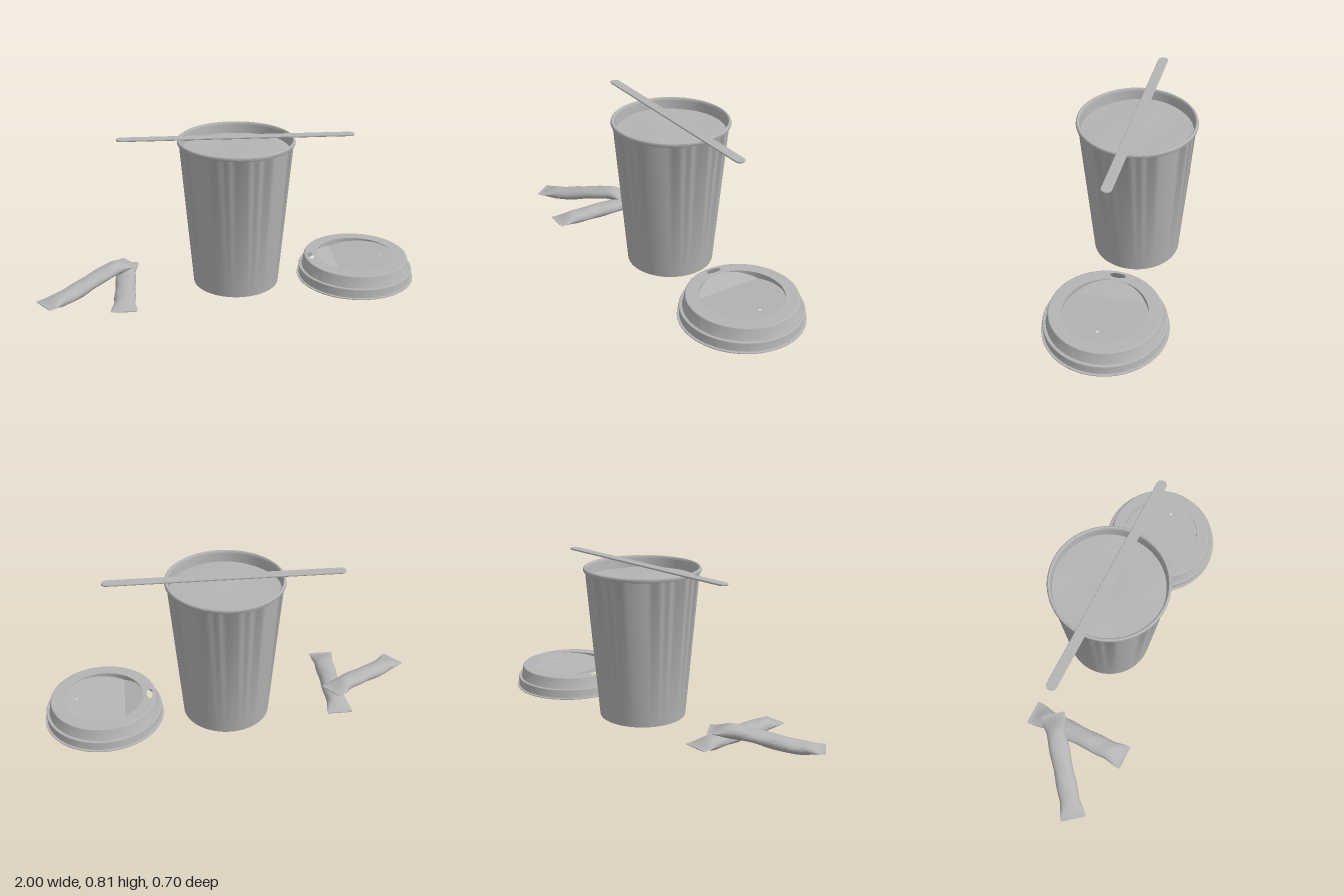
import * as THREE from 'three';
import { toCreasedNormals } from 'three/addons/utils/BufferGeometryUtils.js';

const grey = new THREE.MeshStandardMaterial({ color: 0xb4b4b4, side: THREE.DoubleSide });
grey.name = 'plain grey';

function add(parent, name, geometry) {
  const mesh = new THREE.Mesh(geometry, grey);
  mesh.name = name;
  parent.add(mesh);
  return mesh;
}

function lathe(points) {
  const profile = points.map(([r, y]) => new THREE.Vector2(r, y));
  return toCreasedNormals(new THREE.LatheGeometry(profile, 72), 0.6);
}

// Shape laid flat, with each vertex lifted by a height rule
function sheet(geometry, height) {
  geometry.rotateX(-Math.PI / 2);
  const p = geometry.attributes.position;
  for (let i = 0; i < p.count; i++) p.setY(i, height(p.getX(i), p.getZ(i)));
  geometry.computeVertexNormals();
  return geometry;
}

function circleHole(x, y, rx, ry) {
  return new THREE.Path().absellipse(x, y, rx, ry, 0, Math.PI * 2, true);
}

function makeCup() {
  const cup = new THREE.Group();
  cup.name = 'cup';
  add(cup, 'cupBody', lathe([
    [0, 0.07], [0.224, 0.07], [0.22, 0.01], [0.226, 0.01], [0.292, 0.776],
    [0.297, 0.777], [0.301, 0.782], [0.302, 0.788], [0.3, 0.796], [0.295, 0.8],
    [0.289, 0.799], [0.285, 0.794], [0.284, 0.785], [0.22, 0.08], [0, 0.08],
  ]));
  // Gently rippled drink surface
  add(cup, 'drinkSurface', sheet(new THREE.RingGeometry(0, 0.28, 64, 16), (x, z) =>
    0.74 + 0.002 * Math.sin(14 * x + 6 * z) + 0.002 * Math.sin(17 * z - 8 * x)));
  return cup;
}

function makeLid() {
  const lid = new THREE.Group();
  lid.name = 'lid';
  const top = 0.125, R = 0.208, chord = -0.11, depth = 0.03;
  // Recess falls steeply to the chord, then climbs gently to the far side
  const floor = (x) => top - depth * (x < chord ? (x + R) / (chord + R) : (R - x) / (R - chord));

  // Flange, skirt, groove and raised shoulder
  add(lid, 'lidSkirt', lathe([
    [0.3, 0.01], [0.313, 0.01], [0.313, 0.014], [0.302, 0.015], [0.3, 0.02],
    [0.305, 0.058], [0.303, 0.063], [0.298, 0.065], [0.288, 0.063], [0.286, 0.066],
    [0.278, 0.117], [0.275, 0.123], [0.27, top],
  ]));

  const ring = new THREE.Shape().absarc(0, 0, 0.27, 0, Math.PI * 2);
  ring.holes.push(circleHole(0, 0, R, R), circleHole(-0.243, 0, 0.016, 0.04));
  add(lid, 'lidTopRing', sheet(new THREE.ShapeGeometry(ring, 64), () => top));

  const a = Math.acos(chord / R);
  const main = new THREE.Shape().absarc(0, 0, R, -a, a);
  main.holes.push(circleHole(0.14, 0, 0.007, 0.007));
  add(lid, 'recessFloor', sheet(new THREE.ShapeGeometry(main, 48), floor));
  const slope = new THREE.Shape().absarc(0, 0, R, a, Math.PI * 2 - a);
  add(lid, 'recessSlope', sheet(new THREE.ShapeGeometry(slope, 24), floor));

  // Wall between the ring and the tilted recess
  const wall = new THREE.CylinderGeometry(R, R, 1, 72, 1, true);
  const p = wall.attributes.position;
  for (let i = 0; i < p.count; i++) p.setY(i, p.getY(i) > 0 ? top : floor(p.getX(i)));
  add(lid, 'recessWall', wall);
  return lid;
}

function makeStirrer() {
  const half = 0.607, w = 0.026, s = new THREE.Shape();
  s.absarc(half - w, 0, w, -Math.PI / 2, Math.PI / 2);
  s.absarc(-half + w, 0, w, Math.PI / 2, Math.PI * 1.5);
  const g = new THREE.ExtrudeGeometry(s, {
    depth: 0.005, bevelEnabled: true, bevelThickness: 0.002, bevelSize: 0.002,
    bevelOffset: -0.002, bevelSegments: 1, curveSegments: 8,
  });
  return g.rotateX(-Math.PI / 2);
}

// Pillow sachet: soft tube flattened into a crimp at both ends
function sachetGeometry(centreY, seed) {
  const length = 0.56, rings = 44, sides = 24;
  const pos = [], index = [];
  for (let i = 0; i <= rings; i++) {
    const t = i / rings, edge = Math.min(t, 1 - t);
    const puff = THREE.MathUtils.smoothstep(edge, 0.02, 0.2);
    const w = 0.066 - 0.013 * puff + 0.002 * puff * Math.sin(t * 19 + seed);
    const h = 0.002 + 0.032 * Math.pow(puff, 0.8) * (1 + 0.08 * Math.sin(t * 14 + seed));
    for (let j = 0; j < sides; j++) {
      const u = (j / sides) * Math.PI * 2;
      const crease = 0.001 * puff * Math.sin(3 * u + t * 25 + seed);
      pos.push(w * Math.cos(u), centreY(t) + h * Math.sin(u) + crease, (t - 0.5) * length);
      if (i < rings) {
        const k = (j + 1) % sides, a = i * sides + j, b = i * sides + k;
        index.push(a, b, a + sides, b, b + sides, a + sides);
      }
    }
  }
  // End caps
  const last = rings * sides;
  for (let j = 1; j < sides - 1; j++) {
    index.push(0, j + 1, j, last, last + j, last + j + 1);
  }
  const g = new THREE.BufferGeometry();
  g.setAttribute('position', new THREE.Float32BufferAttribute(pos, 3));
  g.setIndex(index);
  return toCreasedNormals(g, 0.9);
}

export function createModel() {
  const model = new THREE.Group();
  model.name = 'takeawayCupSet';

  const cup = makeCup();
  cup.position.set(0.036, 0, -0.04);
  const lid = makeLid();
  lid.position.set(0.685, 0, -0.042);
  model.add(cup, lid);

  add(model, 'stirrer', makeStirrer()).position.set(0.037, 0.805, -0.042);

  const flat = add(model, 'lowerSachet', sachetGeometry(() => 0.041, 0.5));
  flat.position.set(-0.554, 0, 0.07);

  // Upper sachet rests on the lower one, so its middle line climbs
  const climb = (t) => 0.039 + 0.06 * THREE.MathUtils.smoothstep(t, 0.15, 0.85);
  const leaning = add(model, 'upperSachet', sachetGeometry(climb, 2));
  leaning.position.set(-0.744, 0, 0.077);
  leaning.rotation.y = Math.atan2(0.433, -0.35);
  return model;
}
